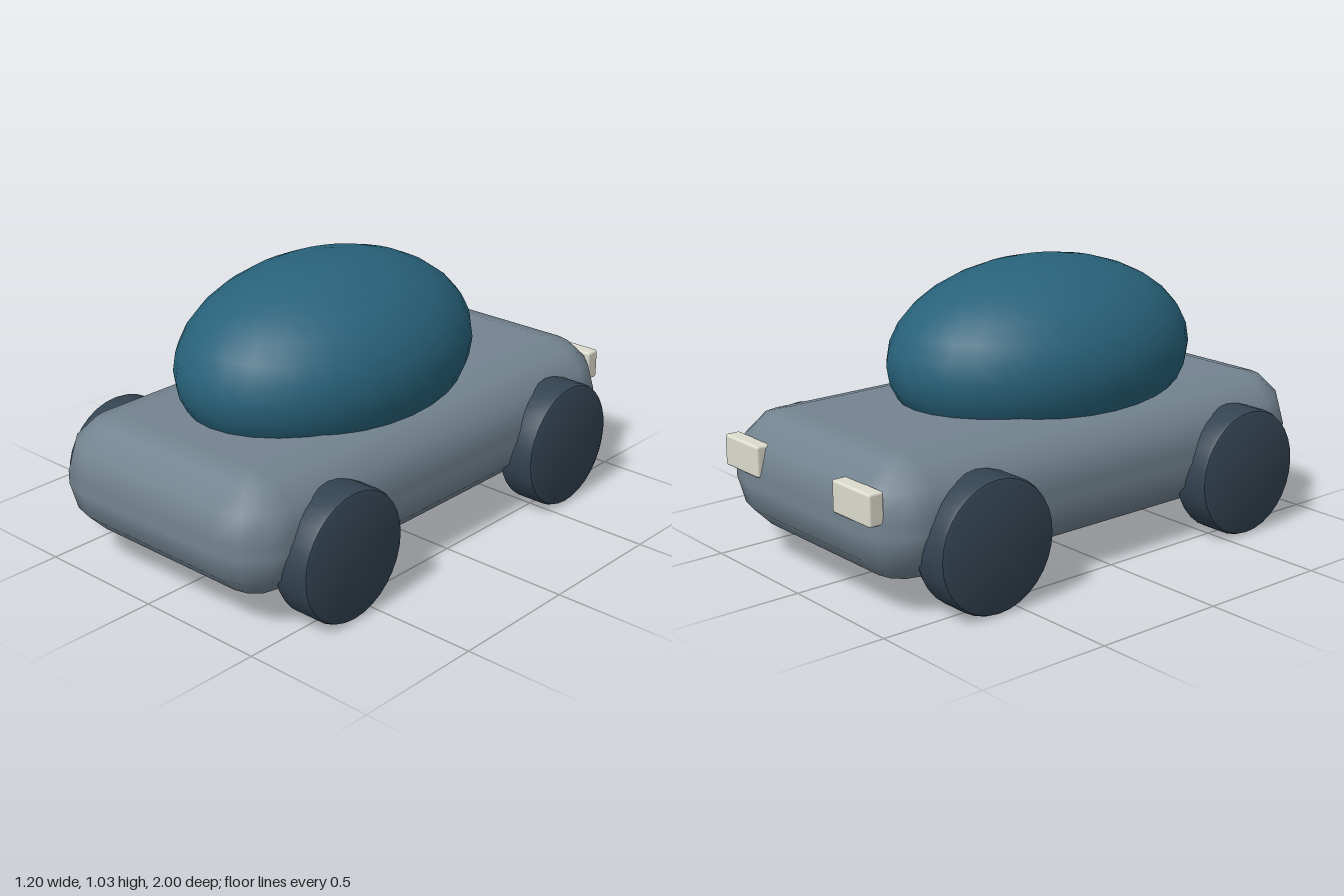
import * as THREE from 'three';
import { toCreasedNormals } from 'three/addons/utils/BufferGeometryUtils.js';
import { RoundedBoxGeometry } from 'three/addons/geometries/RoundedBoxGeometry.js';

const paint = (color) => new THREE.MeshStandardMaterial({ color });

function addMesh(group, name, geometry, material, x, y, z) {
  const mesh = new THREE.Mesh(geometry, material);
  mesh.name = name;
  mesh.position.set(x, y, z);
  group.add(mesh);
  return mesh;
}

// Box whose edges are rounded in three steps: a grid wrapped around the box,
// with its first and last rows gathered to the middle of the top and bottom.
function pillowBox(hx, hy, hz, r) {
  const cols = 16, rows = 9;
  const geo = new THREE.PlaneGeometry(1, 1, cols, rows);
  const pos = geo.attributes.position, nor = geo.attributes.normal;
  for (let j = 0; j <= rows; j++) {
    const cap = j === 0 || j === rows;
    const k = THREE.MathUtils.clamp(j - 1, 0, 7);
    const half = k < 4 ? 1 : -1;
    const polar = (Math.floor(k / 4) + (k % 4) / 3) * Math.PI / 2;
    for (let i = 0; i <= cols; i++) {
      const c = i % cols, quarter = Math.floor(c / 4);
      const a = (quarter + (c % 4) / 3) * Math.PI / 2;
      const nx = Math.sin(polar) * Math.sin(a);
      const ny = Math.cos(polar);
      const nz = Math.sin(polar) * Math.cos(a);
      const sx = quarter < 2 ? 1 : -1;
      const sz = quarter === 0 || quarter === 3 ? 1 : -1;
      const n = j * (cols + 1) + i;
      pos.setXYZ(n,
        cap ? 0 : sx * (hx - r) + nx * r,
        half * (hy - r) + ny * r,
        cap ? 0 : sz * (hz - r) + nz * r);
      nor.setXYZ(n, nx, ny, nz);
    }
  }
  return geo;
}

// Solid disc with softly bevelled rims, axle along x
function wheelGeometry(radius, halfWidth, bevel) {
  const rim = [];
  for (let s = 0; s <= 6; s++) {
    const side = s < 3 ? -1 : 1;
    if (s === 3) continue;
    const a = (s < 3 ? s / 2 : (6 - s) / 2) * Math.PI / 2;
    rim.push(new THREE.Vector2(
      radius - bevel + bevel * Math.sin(a),
      side * (halfWidth - bevel + bevel * Math.cos(a))));
  }
  const profile = [new THREE.Vector2(0, -halfWidth), ...rim, new THREE.Vector2(0, halfWidth)];
  const geo = new THREE.LatheGeometry(profile, 32);
  geo.rotateZ(Math.PI / 2);
  return toCreasedNormals(geo, 0.5);
}

export function createModel() {
  const model = new THREE.Group();
  model.name = 'car';

  // Rounded lower body
  addMesh(model, 'body', pillowBox(0.525, 0.223, 0.995, 0.2), paint(0x738490), 0, 0.333, 0.005);

  // Egg-shaped cabin sunk into the body
  const cabin = addMesh(model, 'cabin', new THREE.SphereGeometry(1, 32, 16), paint(0x28627a), 0, 0.68, 0.1);
  cabin.scale.set(0.45, 0.355, 0.63);

  // Wheels and rear lights, mirrored left and right
  const wheel = wheelGeometry(0.24, 0.075, 0.02);
  const rubber = paint(0x344452);
  const light = new RoundedBoxGeometry(0.21, 0.115, 0.06, 2, 0.01);
  const lens = paint(0xdcdccf);
  for (const [side, s] of [['left', 1], ['right', -1]]) {
    addMesh(model, side + 'FrontWheel', wheel, rubber, s * 0.525, 0.24, 0.606);
    addMesh(model, side + 'RearWheel', wheel, rubber, s * 0.525, 0.24, -0.597);
    addMesh(model, side + 'RearLight', light, lens, s * 0.331, 0.412, -0.97);
  }
  return model;
}
